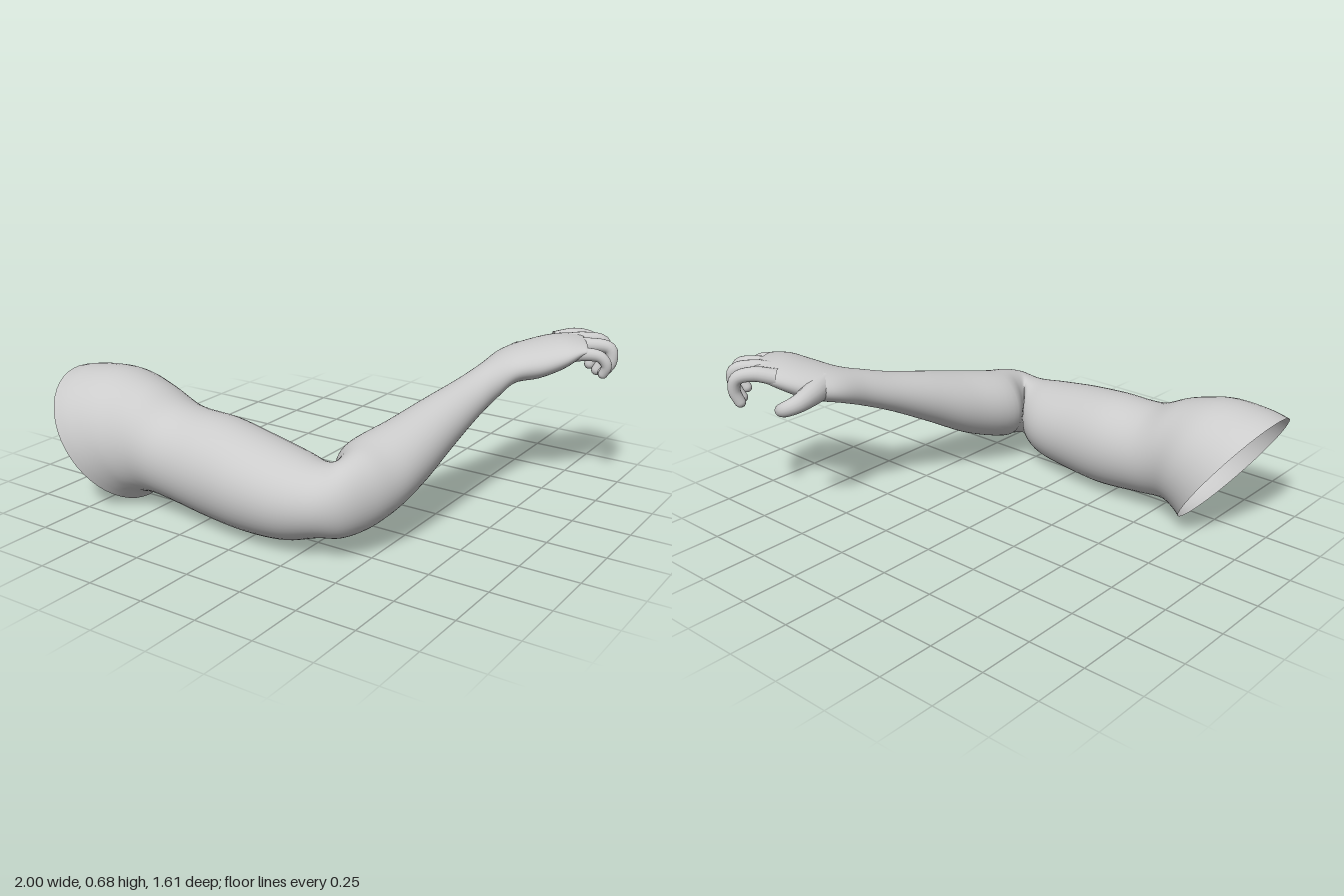
import * as THREE from 'three';

const material = new THREE.MeshStandardMaterial({ color: 0xcccccc, side: THREE.DoubleSide });
const V = (x, y, z) => new THREE.Vector3(x, y, z);

// Skin over closed rings of points
function skin(name, rings) {
  const n = rings[0].length, index = [];
  for (let i = 0; i < rings.length - 1; i++) {
    for (let j = 0; j < n; j++) {
      const a = i * n + j, b = i * n + (j + 1) % n;
      index.push(a, a + n, b, b, a + n, b + n);
    }
  }
  const geometry = new THREE.BufferGeometry().setFromPoints(rings.flat());
  geometry.setIndex(index);
  geometry.computeVertexNormals();
  const mesh = new THREE.Mesh(geometry, material);
  mesh.name = name;
  return mesh;
}

// Section: inner x,z, outer x,z, bottom y, top y, x lean of the top
const shoulderToElbow = [
  [-0.815, 0.22, -0.815, 0.80, 0.00, 0.52, -0.185],
  [-0.76, 0.23, -0.76, 0.79, 0.02, 0.54, -0.15],
  [-0.66, 0.25, -0.66, 0.765, 0.04, 0.55, -0.08],
  [-0.55, 0.285, -0.55, 0.725, 0.045, 0.51, -0.02],
  [-0.42, 0.295, -0.42, 0.71, 0.035, 0.447, 0],
  [-0.20, 0.30, -0.20, 0.725, 0.01, 0.435, 0],
  [0.00, 0.33, 0.00, 0.745, 0.01, 0.41, 0],
  [0.18, 0.365, 0.20, 0.74, 0.03, 0.38, 0],
  [0.26, 0.41, 0.355, 0.70, 0.07, 0.365, 0],
];
const elbowToWrist = [
  [0.30, 0.47, 0.46, 0.635, 0.08, 0.385, 0],
  [0.29, 0.45, 0.535, 0.52, 0.09, 0.41, 0],
  [0.25, 0.37, 0.575, 0.40, 0.11, 0.43, 0],
  [0.31, 0.16, 0.597, 0.24, 0.175, 0.47, 0],
  [0.38, -0.03, 0.61, 0.04, 0.28, 0.515, 0],
  [0.445, -0.21, 0.627, -0.14, 0.375, 0.555, 0],
  [0.483, -0.34, 0.648, -0.25, 0.43, 0.59, 0],
];
const palm = [
  [0.505, -0.50, 0.69, -0.34, 0.485, 0.625, 0],
  [0.57, -0.60, 0.78, -0.39, 0.505, 0.655, 0],
  [0.67, -0.68, 0.86, -0.44, 0.55, 0.678, 0],
  [0.755, -0.725, 0.90, -0.49, 0.60, 0.675, 0],
  [0.79, -0.725, 0.915, -0.51, 0.617, 0.668, 0],
  [0.845, -0.63, 0.855, -0.61, 0.64, 0.645, 0],
];

function armRings() {
  const sections = [...shoulderToElbow, ...elbowToWrist, ...palm];
  const around = 48, steps = (sections.length - 1) * 6;
  const lines = [];
  for (let j = 0; j < around; j++) {
    const c = Math.cos(j / around * Math.PI * 2), s = Math.sin(j / around * Math.PI * 2);
    lines.push(new THREE.CatmullRomCurve3(sections.map(([ix, iz, ox, oz, y0, y1, lean]) => V(
      (ix + ox) / 2 + c * (ox - ix) / 2 + s * lean,
      (y0 + y1) / 2 + s * (y1 - y0) / 2,
      (iz + oz) / 2 + c * (oz - iz) / 2))));
  }
  return Array.from({ length: steps + 1 }, (_, i) => lines.map((line) => line.getPoint(i / steps)));
}

// Tapered digit with a rounded tip
function digit(name, points, r0, r1) {
  const curve = new THREE.CatmullRomCurve3(points.map((p) => V(...p)));
  const steps = 32, around = 16;
  const frames = curve.computeFrenetFrames(steps, false);
  const length = curve.getLength();
  const rings = [];
  for (let i = 0; i <= steps; i++) {
    // Steps bunch up towards the tip for a round end
    const t = Math.sin(i / steps * Math.PI / 2);
    const k = Math.min(steps, Math.round(t * steps));
    const fromTip = Math.min(1, (1 - t) * length / r1);
    const r = THREE.MathUtils.lerp(r0, r1, t) * Math.sqrt(1 - (1 - fromTip) ** 2);
    const centre = curve.getPointAt(t);
    rings.push(Array.from({ length: around }, (_, j) => {
      const a = j / around * Math.PI * 2;
      return centre.clone()
        .addScaledVector(frames.normals[k], Math.cos(a) * r)
        .addScaledVector(frames.binormals[k], -Math.sin(a) * r);
    }));
  }
  return skin(name, rings);
}

export function createModel() {
  const model = new THREE.Group();
  model.name = 'bentArm';
  model.add(skin('armAndPalm', armRings()));

  // Fingers curl downwards from the knuckles
  const hand = new THREE.Group();
  hand.name = 'digits';
  hand.add(
    digit('indexFinger', [[0.70, 0.63, -0.66], [0.77, 0.645, -0.725], [0.825, 0.625, -0.772], [0.84, 0.57, -0.778], [0.82, 0.495, -0.755]], 0.036, 0.023),
    digit('middleFinger', [[0.74, 0.635, -0.61], [0.83, 0.648, -0.675], [0.895, 0.632, -0.728], [0.905, 0.57, -0.73], [0.87, 0.49, -0.705]], 0.036, 0.023),
    digit('ringFinger', [[0.77, 0.63, -0.57], [0.87, 0.642, -0.62], [0.95, 0.628, -0.662], [0.96, 0.57, -0.662], [0.92, 0.505, -0.64]], 0.035, 0.022),
    digit('littleFinger', [[0.80, 0.61, -0.49], [0.89, 0.628, -0.52], [0.955, 0.618, -0.55], [0.978, 0.58, -0.563], [0.955, 0.525, -0.565]], 0.034, 0.019),
    digit('thumb', [[0.60, 0.575, -0.50], [0.565, 0.565, -0.60], [0.56, 0.55, -0.675], [0.593, 0.53, -0.712], [0.65, 0.505, -0.70]], 0.06, 0.025),
  );
  model.add(hand);
  return model;
}
